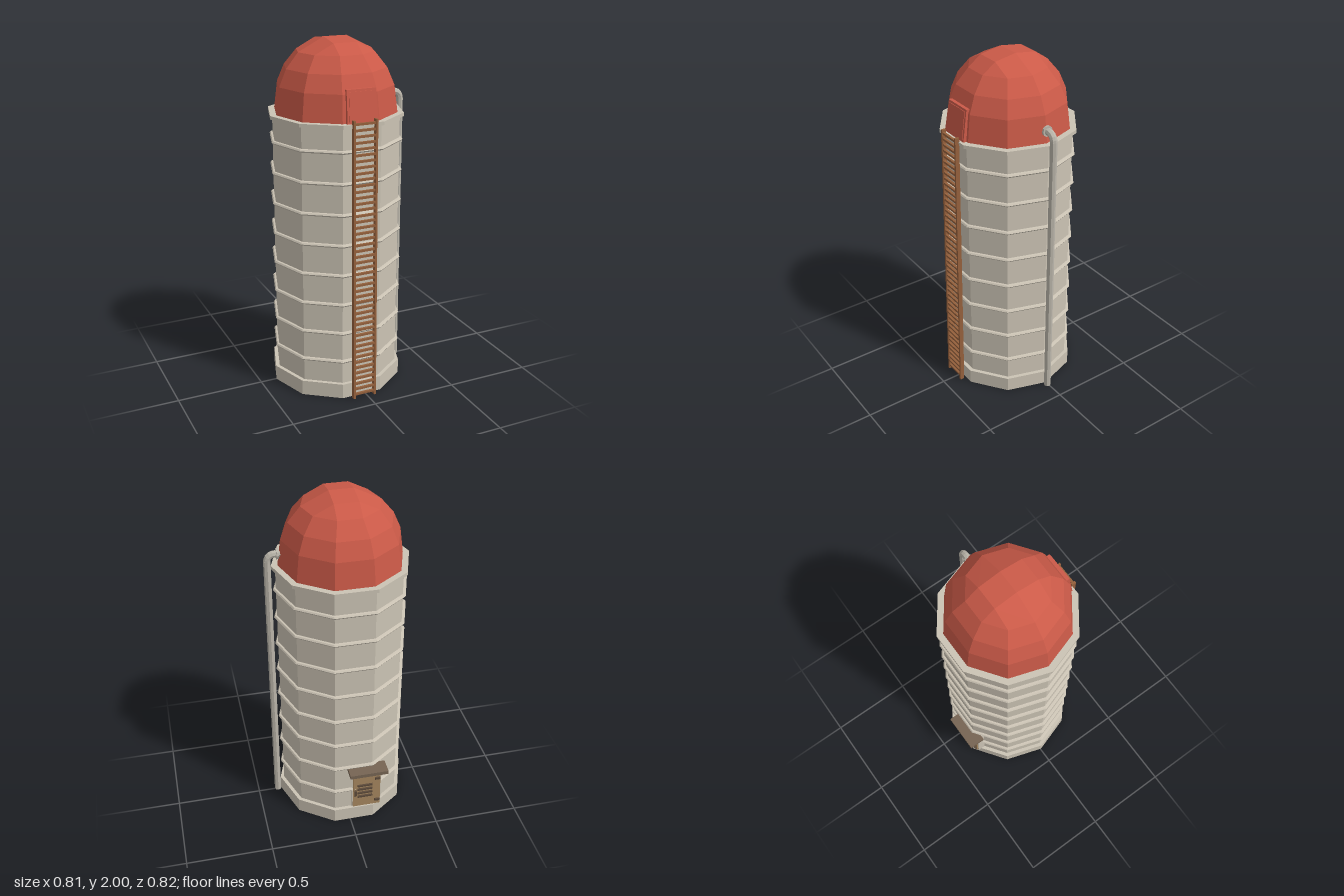
import * as THREE from 'three';
import { ConvexGeometry } from 'three/addons/geometries/ConvexGeometry.js';

const CX = -0.022, CZ = 0.004, SIDES = 10;

function paint(name, color, extra = {}) {
  const m = new THREE.MeshStandardMaterial({ color, ...extra });
  m.name = name;
  return m;
}

export function createModel() {
  const concrete = paint('concrete', 0xcbc3b4, { flatShading: true });
  const red = paint('red roof', 0xcb5a48, { flatShading: true });
  const ladderWood = paint('ladder wood', 0x94603c);
  const metal = paint('pipe metal', 0xbab5aa, { flatShading: true });
  const doorWood = paint('door wood', 0xa5865e);
  const canopyWood = paint('canopy wood', 0x766453);
  const darkMetal = paint('dark fittings', 0x5c4a3a);

  const model = new THREE.Group();
  model.name = 'silo';

  function add(name, geometry, material, x = 0, y = 0, z = 0, parent = model) {
    const mesh = new THREE.Mesh(geometry, material);
    mesh.name = name;
    mesh.position.set(x, y, z);
    parent.add(mesh);
    return mesh;
  }
  const box = (name, w, h, d, mat, x, y, z, parent) =>
    add(name, new THREE.BoxGeometry(w, h, d), mat, x, y, z, parent);

  // Ten-sided wall and footing, with corners on the x axis
  const prism = (name, r, y0, y1) =>
    add(name, new THREE.CylinderGeometry(r, r, y1 - y0, SIDES, 1, false, Math.PI / 2),
      concrete, CX, (y0 + y1) / 2, CZ);
  prism('wall', 0.361, 0.05, 1.59);
  prism('footing', 0.383, 0, 0.087);
  prism('topRim', 0.383, 1.575, 1.595);

  // Bevelled hoops around the wall
  const hoopProfile = [[0.355, -0.011], [0.372, -0.008], [0.378, 0], [0.372, 0.008], [0.355, 0.011]]
    .map(p => new THREE.Vector2(...p));
  for (let i = 0; i < 8; i++) {
    add('hoop', new THREE.LatheGeometry(hoopProfile, SIDES, Math.PI / 2), concrete,
      CX, 0.224 + i * 0.1745, CZ);
  }

  // Faceted dome: decagon rings topped by a gridded crown
  const points = [];
  for (const [r, y] of [[0.348, 1.59], [0.328, 1.745], [0.287, 1.84], [0.217, 1.925]]) {
    for (let i = 0; i < SIDES; i++) {
      const a = i / SIDES * Math.PI * 2;
      points.push(new THREE.Vector3(r * Math.cos(a), y, r * Math.sin(a)));
    }
  }
  for (const x of [-0.067, 0.067]) {
    for (const [z, y] of [[-0.128, 1.98], [0, 2], [0.128, 1.98]]) points.push(new THREE.Vector3(x, y, z));
  }
  add('dome', new ConvexGeometry(points), red, CX, 0, CZ);

  // Sloped roof hatch above the ladder, with a slightly raised panel
  function hatch(name, half, y0, y1, lift) {
    const front = y => 0.353 - (y - 1.595) * 0.16 + lift;
    const corners = [];
    for (const s of [-1, 1]) {
      for (const [y, w] of [[y0, half], [y1, half - 0.006]]) {
        for (const z of [front(y), front(y) - 0.04]) corners.push(new THREE.Vector3(s * w, y, z));
      }
    }
    add(name, new ConvexGeometry(corners), red, -0.02, 0, 0);
  }
  hatch('roofHatch', 0.09, 1.595, 1.77, 0);
  hatch('hatchPanel', 0.078, 1.605, 1.758, 0.003);

  // Leaning ladder
  const ladder = new THREE.Group();
  ladder.name = 'ladder';
  ladder.position.set(-0.021, 0.003, 0.397);
  ladder.rotation.x = -0.0125;
  model.add(ladder);
  for (const s of [-1, 1]) box('ladderRail', 0.012, 1.615, 0.025, ladderWood, s * 0.064, 0.8075, 0, ladder);
  const RUNGS = 48;
  for (let i = 0; i < RUNGS; i++) {
    box('ladderRung', 0.118, 0.012, 0.014, ladderWood, 0, 0.025 + i * 1.57 / (RUNGS - 1), 0.003, ladder);
  }

  // Side pipe with an elbow into the dome
  const pipe = new THREE.Group();
  pipe.name = 'sidePipe';
  pipe.position.z = CZ;
  model.add(pipe);
  add('pipeRun', new THREE.CylinderGeometry(0.02, 0.02, 1.625, 8), metal, 0.381, 0.8125, 0, pipe);
  const bend = new THREE.QuadraticBezierCurve3(
    new THREE.Vector3(0.381, 1.62, 0), new THREE.Vector3(0.381, 1.665, 0), new THREE.Vector3(0.335, 1.665, 0));
  add('pipeElbow', new THREE.TubeGeometry(bend, 5, 0.02, 8), metal, 0, 0, 0, pipe);
  const stub = add('pipeStub', new THREE.CylinderGeometry(0.02, 0.02, 0.05, 8), metal, 0.312, 1.665, 0, pipe);
  const flange = add('pipeFlange', new THREE.CylinderGeometry(0.03, 0.03, 0.012, 10), metal, 0.325, 1.665, 0, pipe);
  stub.rotation.z = flange.rotation.z = Math.PI / 2;

  // Back door with frame, canopy, louvres and hinges
  const door = new THREE.Group();
  door.name = 'backDoor';
  door.position.set(-0.1, 0, 0);
  model.add(door);
  box('doorFrame', 0.176, 0.28, 0.05, concrete, 0, 0.225, -0.321, door);
  box('doorPanel', 0.165, 0.27, 0.012, doorWood, 0, 0.225, -0.349, door);
  box('canopy', 0.227, 0.022, 0.095, canopyWood, 0, 0.378, -0.3665, door);
  for (let i = 0; i < 4; i++) {
    box('louvre', 0.09, 0.011, 0.014, darkMetal, 0.012, 0.17 + i * 0.028, -0.358, door);
  }
  for (const y of [0.125, 0.295]) box('hinge', 0.032, 0.014, 0.014, darkMetal, -0.064, y, -0.358, door);
  box('doorHandle', 0.012, 0.04, 0.016, darkMetal, 0.07, 0.2, -0.36, door);

  return model;
}
